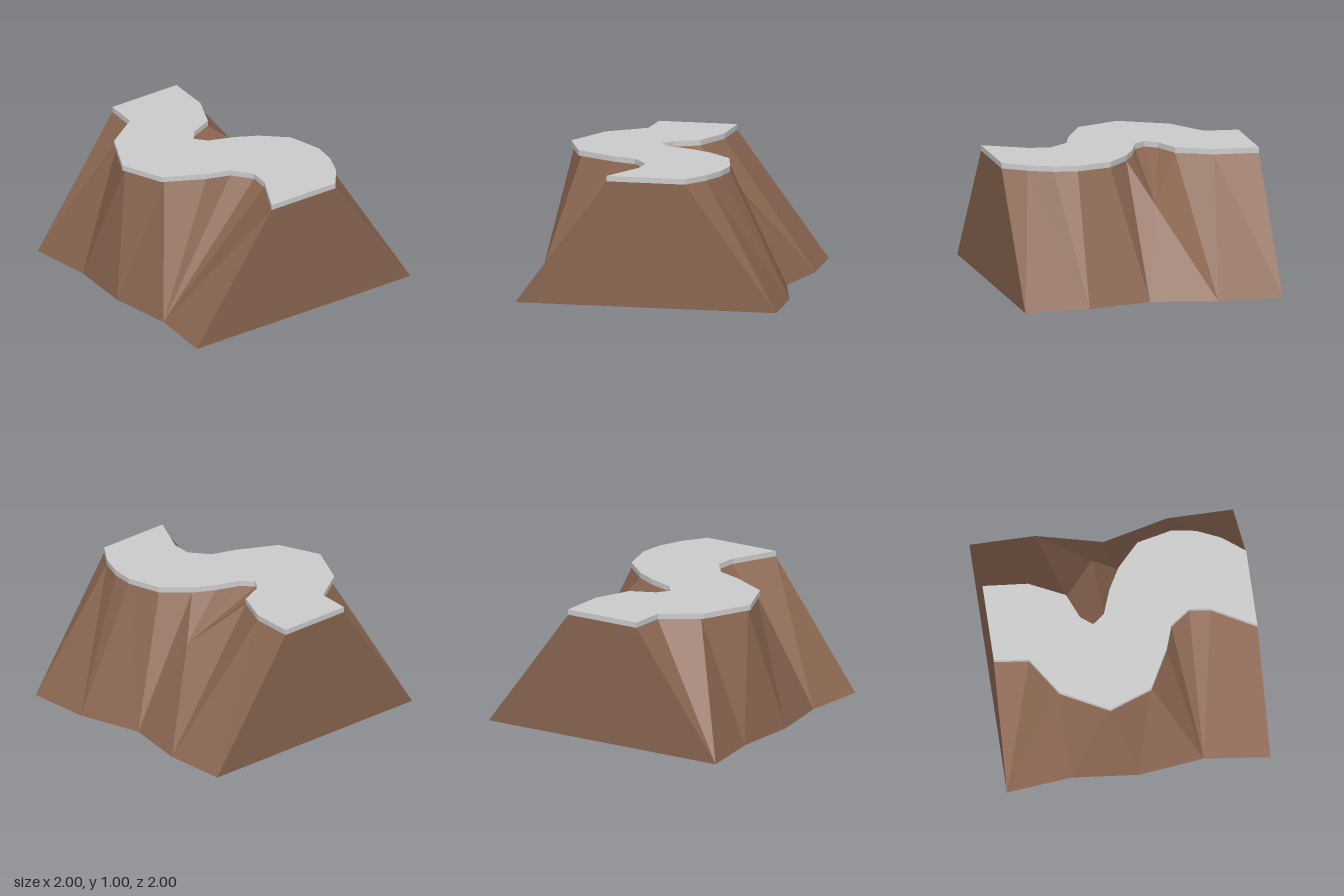
import * as THREE from 'three';

const SLAB_BOTTOM = 0.958, SLAB_TOP = 1;

// Winding path outline [x, z]: left edge back to front, then right edge front to back
const outline = [
  [-0.30, -1], [-0.33, -0.74], [-0.62, -0.55], [-0.81, -0.19], [-0.69, 0.14],
  [-0.39, 0.30], [-0.21, 0.36], [-0.10, 0.51], [-0.12, 0.67], [-0.30, 1],
  [0.30, 1], [0.43, 0.83], [0.51, 0.65], [0.54, 0.47], [0.48, 0.20],
  [0.30, 0.03], [0.14, -0.06], [-0.05, -0.13], [-0.12, -0.22], [-0.05, -0.31],
  [0.14, -0.39], [0.27, -0.66], [0.30, -1],
];

// Foot of the cliff [x, y, z, number of rim edges fanned from this point]
const foot = [
  [-1, 0, -1, 2], [-0.95, 0, -0.5, 1], [-1, 0, 0, 1], [-0.94, 0, 0.5, 5], [-1, 0, 1, 1],
  [1, 0, 1, 1], [1, 0, 0.5, 2], [0.88, 0, 0, 2],
  [0.51, 0.655, -0.14, 5], // lip of the gully
  [1, 0, -0.5, 1], [1, 0, -1, 2],
];

function makeSlab() {
  const shape = new THREE.Shape(outline.map(([x, z]) => new THREE.Vector2(x, -z)));
  const geo = new THREE.ExtrudeGeometry(shape, { depth: SLAB_TOP - SLAB_BOTTOM, bevelEnabled: false });
  return geo.rotateX(-Math.PI / 2).translate(0, SLAB_BOTTOM, 0);
}

function makeCliff() {
  // The rim sits slightly under the slab where the path bulges left
  const rim = outline.map(([x, z]) => [x < -0.6 ? x + 0.025 : x, SLAB_BOTTOM, z]);
  const pos = [];
  const tri = (...corners) => corners.forEach((c) => pos.push(c[0], c[1], c[2]));
  let r = 0;
  foot.forEach((p, i) => {
    for (let k = 0; k < p[3]; k++, r++) {
      tri(p, rim[(r + 1) % rim.length], rim[r % rim.length]);
    }
    tri(p, foot[(i + 1) % foot.length], rim[r % rim.length]);
  });
  // Slope below the gully lip
  tri(foot[7], foot[9], foot[8]);
  const geo = new THREE.BufferGeometry();
  geo.setAttribute('position', new THREE.Float32BufferAttribute(pos, 3));
  geo.computeVertexNormals();
  return geo;
}

export function createModel() {
  const stone = new THREE.MeshStandardMaterial({ color: 0xcccccc });
  stone.name = 'paleStone';
  const earth = new THREE.MeshStandardMaterial({ color: 0x8a6651, side: THREE.DoubleSide, flatShading: true });
  earth.name = 'brownEarth';

  const path = new THREE.Mesh(makeSlab(), stone);
  path.name = 'windingPath';
  const cliff = new THREE.Mesh(makeCliff(), earth);
  cliff.name = 'cliffSides';

  const group = new THREE.Group();
  group.name = 'cliffPath';
  group.add(path, cliff);
  return group;
}
